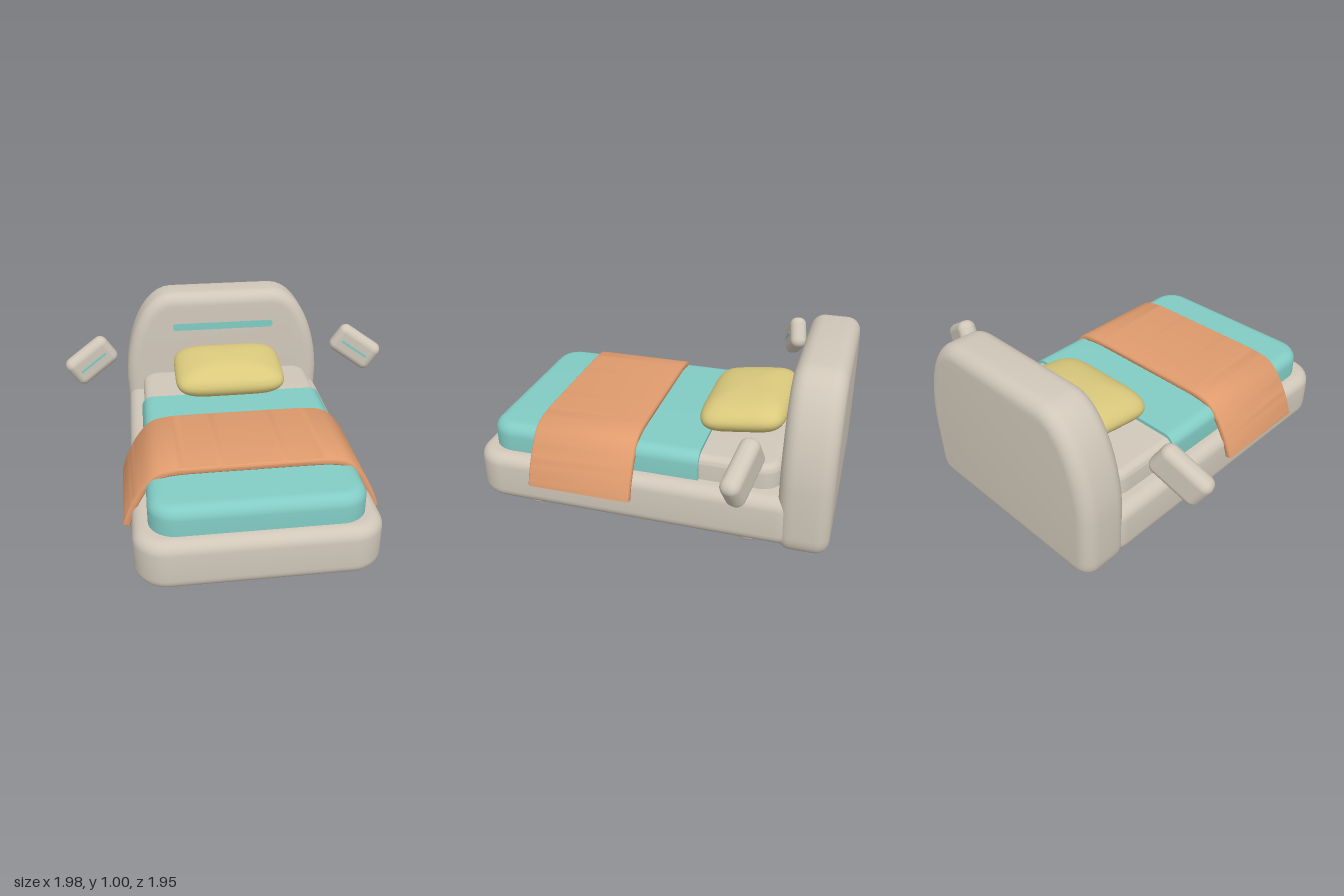
import * as THREE from 'three';
import { toCreasedNormals } from 'three/addons/utils/BufferGeometryUtils.js';
import { RoundedBoxGeometry } from 'three/addons/geometries/RoundedBoxGeometry.js';

const paint = (name, color) => {
  const m = new THREE.MeshStandardMaterial({ color });
  m.name = name;
  return m;
};

// Rectangle with separate corner radii for the low-y and high-y ends
function roundedRect(x0, x1, y0, y1, rLow, rHigh = rLow) {
  const s = new THREE.Shape();
  s.absarc(x1 - rLow, y0 + rLow, rLow, -Math.PI / 2, 0);
  s.absarc(x1 - rHigh, y1 - rHigh, rHigh, 0, Math.PI / 2);
  s.absarc(x0 + rHigh, y1 - rHigh, rHigh, Math.PI / 2, Math.PI);
  s.absarc(x0 + rLow, y0 + rLow, rLow, Math.PI, Math.PI * 1.5);
  s.closePath();
  return s;
}

// Extrusion whose rounded edges stay inside the outline and the given depth
function softExtrude(shape, depth, bevel) {
  return new THREE.ExtrudeGeometry(shape, {
    depth: depth - 2 * bevel, bevelEnabled: true, bevelThickness: bevel,
    bevelSize: bevel, bevelOffset: -bevel, bevelSegments: 7, curveSegments: 12,
  }).translate(0, 0, bevel);
}

// Horizontal slab: outline seen from above, raised from y0 to y1
function slab(halfW, zBack, zFront, y0, y1, rFront, rBack, bevel) {
  const shape = roundedRect(-halfW, halfW, -zFront, -zBack, rFront, rBack);
  return softExtrude(shape, y1 - y0, bevel).rotateX(-Math.PI / 2).translate(0, y0, 0);
}

const smooth = (geo, crease = 0.8) => toCreasedNormals(geo, crease);

// Thin inlaid strip with round ends
function strip(w, h, depth) {
  return new THREE.ExtrudeGeometry(roundedRect(-w / 2, w / 2, -h / 2, h / 2, h * 0.49),
    { depth, bevelEnabled: false, curveSegments: 8 });
}

export function createModel() {
  const beige = paint('warm beige', 0xd0c7b9);
  const teal = paint('soft teal', 0x82cbc4);
  const orange = paint('apricot', 0xdf9b6d);
  const yellow = paint('pale yellow', 0xdac97c);

  const bed = new THREE.Group();
  bed.name = 'bed';
  const add = (name, geo, mat, parent = bed) => {
    const mesh = new THREE.Mesh(geo, mat);
    mesh.name = name;
    parent.add(mesh);
    return mesh;
  };

  // Base and mattress
  add('bedFrame', smooth(slab(0.62, -0.8, 0.975, 0.1, 0.375, 0.17, 0.1, 0.065)), beige);
  add('mattress', smooth(slab(0.525, -0.695, 0.4, 0.25, 0.505, 0.1, 0.1, 0.045)), beige);

  // Fitted sheet, cut flat across its back edge
  const sheetBack = -0.28;
  const sheet = slab(0.54, sheetBack - 0.13, 0.905, 0.25, 0.525, 0.14, 0.13, 0.065);
  const sp = sheet.attributes.position;
  for (let i = 0; i < sp.count; i++) sp.setZ(i, Math.max(sp.getZ(i), sheetBack));
  add('sheet', smooth(sheet), teal);

  // Headboard with arched shoulders
  const board = new THREE.Shape();
  board.moveTo(-0.51, 0.055);
  board.lineTo(0.51, 0.055);
  board.quadraticCurveTo(0.615, 0.06, 0.62, 0.17);
  board.lineTo(0.627, 0.45);
  board.bezierCurveTo(0.615, 0.72, 0.5, 1.0, 0.32, 1.005);
  board.lineTo(-0.32, 1.005);
  board.bezierCurveTo(-0.5, 1.0, -0.615, 0.72, -0.627, 0.45);
  board.lineTo(-0.62, 0.17);
  board.quadraticCurveTo(-0.615, 0.06, -0.51, 0.055);
  add('headboard', smooth(softExtrude(board, 0.27, 0.075).translate(0, 0, -0.97)), beige);
  add('headboardSlot', strip(0.64, 0.045, 0.008), teal).position.set(0, 0.793, -0.704);

  // Blanket draped over both sides
  const half = [[0, 0.552], [0.25, 0.552], [0.4, 0.548], [0.49, 0.525], [0.555, 0.455],
    [0.605, 0.37], [0.635, 0.3], [0.65, 0.25]];
  const drape = [...half.slice(1).reverse().map(([x, y]) => [-x, y]), ...half];
  const curve = new THREE.SplineCurve(drape.map(([x, y]) => new THREE.Vector2(x, y)));
  const top = [], under = [];
  for (let i = 0; i <= 60; i++) {
    const p = curve.getPointAt(i / 60), t = curve.getTangentAt(i / 60);
    const n = new THREE.Vector2(-t.y, t.x).multiplyScalar(0.019);
    top.push(p.clone().add(n));
    under.unshift(p.clone().sub(n));
  }
  const blanket = softExtrude(new THREE.Shape([...under, ...top]), 0.57, 0.013);
  add('blanket', smooth(blanket.translate(0, 0, 0.053)), orange);

  // Pillow: a sphere squared off in plan
  const pillow = new THREE.SphereGeometry(1, 64, 32);
  const pp = pillow.attributes.position;
  const square = (v) => Math.sign(v) * Math.abs(v) ** 0.38;
  for (let i = 0; i < pp.count; i++) {
    const x = pp.getX(i), y = pp.getY(i), z = pp.getZ(i);
    const r = Math.hypot(x, z);
    const k = r < 1e-5 ? 0 : r ** 0.75 / 1;
    const cx = r < 1e-5 ? 0 : x / r, cz = r < 1e-5 ? 0 : z / r;
    pp.setXYZ(i, 0.33 * k * square(cx), 0.103 * y, 0.235 * k * square(cz));
  }
  const pillowMesh = add('pillow', smooth(pillow, 1.6), yellow);
  pillowMesh.position.set(0, 0.605, -0.438);
  pillowMesh.rotation.x = 0.13;

  // Feet with coloured pads underneath
  const footProfile = [[0, 0.003], [0.07, 0.003], [0.083, 0.008], [0.09, 0.022], [0.09, 0.12]]
    .map(([x, y]) => new THREE.Vector2(x, y));
  const footGeo = smooth(new THREE.LatheGeometry(footProfile, 24));
  const padGeo = new THREE.CylinderGeometry(0.073, 0.073, 0.006, 24);
  for (const x of [-0.395, 0.395]) {
    for (const z of [0.68, -0.535]) {
      const foot = new THREE.Group();
      foot.name = 'foot';
      add('footBody', footGeo, beige, foot);
      add('footPad', padGeo, teal, foot).position.y = 0.003;
      foot.position.set(x, 0, z);
      bed.add(foot);
    }
  }

  // Floating side blocks, tilted and turned inward
  for (const side of [1, -1]) {
    const block = new THREE.Group();
    block.name = side > 0 ? 'leftFloatingBlock' : 'rightFloatingBlock';
    add('blockBody', new RoundedBoxGeometry(0.3, 0.19, 0.1, 5, 0.045), beige, block);
    add('blockSlit', strip(0.19, 0.014, 0.006), teal, block).position.z = 0.047;
    block.position.set(side * 0.832, 0.66, -0.563);
    block.rotation.set(0, side * -0.27, side * -0.57);
    bed.add(block);
  }

  return bed;
}
